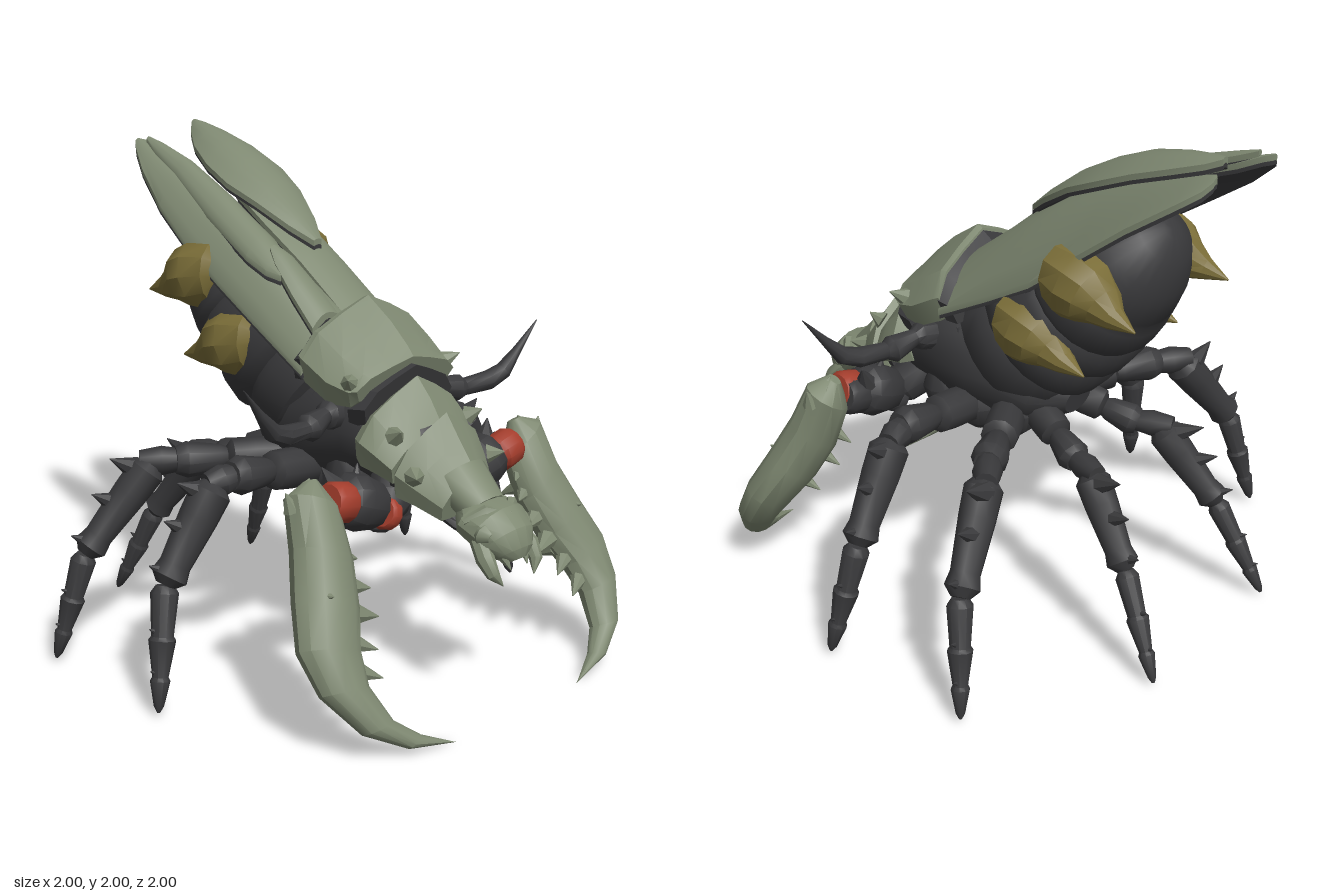
import * as THREE from 'three';
import { toCreasedNormals } from 'three/addons/utils/BufferGeometryUtils.js';

const V = (x, y, z) => new THREE.Vector3(x, y, z);
const material = (name, color) => new THREE.MeshStandardMaterial({ name, color });

export function createModel() {
  const model = new THREE.Group();
  model.name = 'giantInsect';
  const green = material('shellGreen', 0x7f8972);
  const dark = material('bodyCharcoal', 0x39393b);
  const ochre = material('podOchre', 0x7a6d38);
  const red = material('jointRed', 0xa43d2c);

  // Closed solid through cross-sections of equal length, wound outwards
  function loft(name, mat, sections, crease = 0.7) {
    const n = sections[0].length, pos = [], tris = [];
    sections.forEach(s => s.forEach(p => pos.push(p.x, p.y, p.z)));
    for (let i = 0; i < sections.length - 1; i++)
      for (let j = 0; j < n; j++) {
        const a = i * n + j, b = i * n + (j + 1) % n;
        tris.push([a, b, a + n], [b, b + n, a + n]);
      }
    [0, sections.length - 1].forEach((k, e) => {
      const c = sections[k].reduce((m, p) => m.add(p), V(0, 0, 0)).divideScalar(n);
      const ci = pos.length / 3;
      pos.push(c.x, c.y, c.z);
      for (let j = 0; j < n; j++) {
        const a = k * n + j, b = k * n + (j + 1) % n;
        tris.push(e ? [a, b, ci] : [b, a, ci]);
      }
    });
    const at = i => V(pos[3 * i], pos[3 * i + 1], pos[3 * i + 2]);
    const volume = tris.reduce((v, [a, b, c]) => v + at(a).dot(at(b).cross(at(c))), 0);
    const geo = new THREE.BufferGeometry();
    geo.setAttribute('position', new THREE.Float32BufferAttribute(pos, 3));
    geo.setIndex(tris.flatMap(([a, b, c]) => (volume < 0 ? [a, c, b] : [a, b, c])));
    const mesh = new THREE.Mesh(toCreasedNormals(geo, crease), mat);
    mesh.name = name;
    model.add(mesh);
  }

  // Tube through [x, y, z, radius, second radius] points
  function tube(name, mat, pts, sides = 10, crease = 0.7) {
    const P = pts.map(p => V(p[0], p[1], p[2])), last = P.length - 1;
    const whole = P[last].clone().sub(P[0]).normalize();
    const ref = Math.abs(whole.x) < 0.75 ? V(1, 0, 0) : V(0, 0, 1);
    loft(name, mat, P.map((c, i) => {
      const t = P[Math.min(i + 1, last)].clone().sub(P[Math.max(i - 1, 0)]).normalize();
      const u = ref.clone().addScaledVector(t, -ref.dot(t)).normalize();
      const v = t.clone().cross(u);
      const [, , , ru, rv = ru] = pts[i];
      return Array.from({ length: sides }, (_, k) => {
        const a = k / sides * Math.PI * 2;
        return c.clone().addScaledVector(u, ru * Math.cos(a)).addScaledVector(v, rv * Math.sin(a));
      });
    }), crease);
  }

  // Straight piece with radius profile [[t, r], ...]
  const mix = (a, b, t) => a.map((q, i) => q + (b[i] - q) * t);
  const piece = (name, mat, a, b, profile, sides = 10) =>
    tube(name, mat, profile.map(([t, r]) => [...mix(a, b, t), r]), sides);
  const spike = (name, mat, a, b, r) => piece(name, mat, a, b, [[0, r], [0.4, r * 0.62], [1, 0.002]], 7);
  const side = (s, p) => [p[0] * s, ...p.slice(1)];

  // Thorax and ringed abdomen
  tube('thorax', dark, [[0, .76, .74, .08, .05], [0, .84, .62, .14, .1], [0, .9, .5, .18, .15], [0, .97, .3, .25, .23],
    [0, .93, .05, .27, .25], [0, .86, -.2, .2, .15], [0, .84, -.3, .08, .06]], 18);
  const abdomen = [[.13, .93, .22, .24], [.01, 1.01, .265, .295], [-.16, 1.14, .31, .32],
    [-.28, 1.245, .335, .31], [-.39, 1.345, .32, .285], [-.5, 1.455, .285, .25], [-.605, 1.555, .21, .185]];
  const rings = [];
  abdomen.forEach(([z, y, rx, ry], i) => {
    rings.push([0, y, z, rx, ry]);
    const next = abdomen[i + 1];
    if (next) // narrow fold just before the next ring
      [[.6, .5], [.8, .465]].forEach(([t, k]) => rings.push(
        [0, y + (next[1] - y) * t, z + (next[0] - z) * t, (rx + next[2]) * k, (ry + next[3]) * k]));
  });
  rings.push([0, 1.615, -.67, .13, .12], [0, 1.64, -.7, .04, .04]);
  tube('abdomen', dark, rings, 24, 0.8);

  // Roof-shaped back plates: rows of [z, half width, ridge height, depth]
  const roof = [[0, 0], [.4, .17], [.78, .37], [1, .68], [.9, 1]];
  function plate(name, mat, rows) {
    const outline = [...roof, ...roof.slice(1).reverse().map(([x, d]) => [-x, d])];
    loft(name, mat, rows.map(([z, w, top, h]) => outline.map(([x, d]) => V(x * w, top - d * h, z - .05 * d))), 0.45);
  }
  plate('backPlateRim', dark, [[.13, .295, 1.39, .25], [.18, .305, 1.425, .28]]);
  plate('backPlate', green, [[.175, .305, 1.43, .27], [.2, .31, 1.44, .3], [.32, .3, 1.36, .28],
    [.41, .275, 1.28, .2], [.44, .26, 1.245, .14]]);
  plate('backPlateCollar', dark, [[.38, .25, 1.22, .22], [.455, .235, 1.215, .2]]);
  plate('middlePlate', green, [[.41, .24, 1.14, .26], [.46, .27, 1.175, .31], [.53, .26, 1.1, .25], [.59, .23, 1.01, .19]]);
  plate('middlePlateCollar', dark, [[.55, .2, .99, .2], [.605, .2, .985, .18]]);
  plate('neckPlate', green, [[.575, .2, 1.03, .25], [.61, .235, 1.065, .29], [.68, .2, .97, .22], [.76, .14, .87, .17]]);

  // Wing cases: rows of [z, inner x, outer x, crown height, drop]; peak is the crown's place across
  function wing(name, rows, peak) {
    const layer = (label, mat, offset, thick, inset) => loft(label, mat, rows.map(([z, xi, xo, top, drop]) => {
      const upper = [], lower = [];
      for (let k = 0; k <= 8; k++) {
        const u = k / 8, e = (u - peak) / Math.max(peak, 1 - peak);
        const x = (xi + xo) / 2 + (u - .5) * (xo - xi) * inset, y = top - drop * e * e - offset;
        upper.push(V(x, y, z));
        lower.unshift(V(x, y - thick, z));
      }
      return [...upper, ...lower];
    }), 0.7);
    layer(name, green, 0, .022, 1);
    layer(name + 'Lining', dark, .023, .015, .95);
  }
  wing('leftWingCase', [[.15, -.06, .3, 1.37, .18], [-.1, -.07, .31, 1.56, .24], [-.3, -.08, .315, 1.69, .26],
    [-.5, -.05, .31, 1.78, .2], [-.7, .03, .3, 1.86, .13], [-.88, .11, .27, 1.92, .07],
    [-.96, .15, .24, 1.945, .04], [-.985, .185, .21, 1.945, .01]], .25);
  wing('leftWingLeaf', [[-.11, .01, .05, 1.61, .005], [-.2, -.04, .1, 1.69, .03], [-.35, -.08, .16, 1.8, .06],
    [-.5, -.1, .2, 1.88, .08], [-.65, -.08, .2, 1.94, .08], [-.8, -.02, .19, 1.975, .06],
    [-.92, .06, .165, 1.995, .035], [-.975, .11, .14, 2, .01]], .55);
  wing('rightWingCase', [[.15, -.05, -.3, 1.37, .18], [-.1, -.08, -.31, 1.54, .2], [-.3, -.1, -.315, 1.66, .2],
    [-.5, -.11, -.31, 1.75, .17], [-.7, -.11, -.285, 1.84, .13], [-.88, -.11, -.23, 1.9, .07],
    [-.97, -.13, -.19, 1.935, .03], [-1, -.15, -.17, 1.94, .01]], .25);
  wing('rightWingLeaf', [[-.04, -.16, -.23, 1.53, .02], [-.1, -.13, -.25, 1.575, .05], [-.2, -.11, -.26, 1.64, .07],
    [-.45, -.1, -.24, 1.77, .07], [-.7, -.1, -.2, 1.88, .05], [-.87, -.11, -.17, 1.93, .03],
    [-.95, -.13, -.15, 1.95, .01]], .4);
  wing('rightWingLobe', [[-.13, -.16, -.2, 1.61, .01], [-.08, -.13, -.22, 1.58, .03], [.03, -.11, -.235, 1.49, .04],
    [.15, -.1, -.24, 1.39, .05]], .4);

  // Head with brow crest
  tube('neck', green, [[0, .84, .68, .12, .09], [0, .74, .8, .1, .075]], 12);
  tube('head', green, [[0, .74, .75, .09, .07], [0, .715, .8, .14, .085], [0, .69, .87, .14, .1],
    [0, .655, .92, .12, .085], [0, .615, .95, .085, .06], [0, .59, .965, .04, .03]], 14, 0.5);
  tube('brow', green, [[-.135, .73, .82, .015], [-.07, .765, .87, .025], [0, .745, .92, .02],
    [.07, .765, .87, .025], [.135, .73, .82, .015]], 6);
  tube('lowerJaw', dark, [[0, .72, .6, .08, .05], [0, .665, .72, .07, .03], [0, .64, .78, .04, .02]], 10);

  // Walking legs: hip, knee start, knee end, ankle, foot, then thickness
  const legs = {
    middleLeg: [[.2, .78, .08], [.6, .83, .09], [.69, .81, .06], [.885, .47, .05], [.985, .02, .12], .075],
    rearLeg: [[.18, .78, -.1], [.55, .79, -.3], [.66, .79, -.385], [.885, .45, -.45], [.985, .02, -.53], .071],
    backLeg: [[.1, .8, -.18], [.2, .7, -.45], [.25, .705, -.58], [.31, .4, -.76], [.38, .02, -.95], .065],
  };

  for (const s of [1, -1]) {
    const tag = s > 0 ? 'left' : 'right';
    for (const [leg, [hip, k0, k1, ankle, foot, r]] of Object.entries(legs)) {
      const name = tag + leg[0].toUpperCase() + leg.slice(1);
      const [a, b, c, d, f] = [hip, k0, k1, ankle, foot].map(p => side(s, p));
      const m = mix(a, b, .52);
      piece(name + 'Hip', dark, a, m, [[0, r], [.5, r * 1.05], [.9, r], [1, r * .6]]);
      piece(name + 'Thigh', dark, mix(a, b, .48), b, [[0, r * .5], [.2, r * .75], [.8, r], [1, r * .75]]);
      piece(name + 'Knee', dark, mix(a, b, .92), c, [[0, r * .6], [.5, r * .8], [1, r * .6]]);
      piece(name + 'Shin', dark, mix(b, c, .6), d, [[0, r * .5], [.1, r * 1.05], [.35, r], [.8, r * .8], [.92, r * .95], [1, r * .5]]);
      piece(name + 'Foot', dark, d, f, [[0, r * .45], [.06, r * .7], [.4, r * .55], [.43, r * .68], [.72, r * .4], [.75, r * .5], [.95, r * .25], [1, .006]]);
      // Thorns on the outer edge
      const out = leg === 'backLeg' ? [.02, .04, -.09] : [.09, .05, -.01];
      [[c, d, .08, 1.2], [c, d, .45, 1.1], [c, d, .88, .95], [d, f, .38, .6], [d, f, .7, .45]].forEach(([p, q, t, k]) => {
        const base = mix(p, q, t);
        spike(name + 'Thorn', dark, base, base.map((v, i) => v + out[i] * k * (i ? 1 : s)), r * .55 * k);
      });
    }

    // Short pointed feeler arms
    tube(tag + 'FeelerArm', dark, [[.18, 1.02, .25, .06], [.28, 1.04, .27, .055], [.3, 1.04, .275, .035],
      [.4, 1.02, .3, .055], [.43, 1.02, .31, .035], [.55, 1.03, .335, .04], [.62, 1.06, .35, .035],
      [.69, 1.14, .365, .018], [.78, 1.25, .385, .002]].map(p => side(s, p)), 9);

    // Claw arm; the red joints show in front, with dark sleeves behind
    piece(tag + 'ClawHip', dark, side(s, [.08, .78, .42]), side(s, [.2, .7, .5]), [[0, .09], [.7, .085], [1, .06]]);
    piece(tag + 'ClawArm', dark, side(s, [.215, .72, .48]), side(s, [.425, .8, .475]), [[0, .06], [.15, .09], [.6, .11], [.85, .1], [1, .06]]);
    [['InnerJoint', [.18, .69, .5], [.235, .71, .51], .065], ['OuterJoint', [.395, .785, .505], [.505, .815, .51], .076]]
      .forEach(([label, a, b, r]) => {
        const profile = [[0, r * .8], [.2, r], [.8, r], [1, r * .85]];
        const back = p => side(s, [p[0], p[1] - .018, p[2] - .028]);
        piece(tag + label, red, side(s, a), side(s, b), profile, 12);
        piece(tag + label + 'Sleeve', dark, back(a), back(b), profile, 12);
      });
    spike(tag + 'ArmThorn', dark, side(s, [.33, .8, .47]), side(s, [.3, .9, .45]), .045);
    spike(tag + 'ArmCollar', dark, side(s, [.4, .82, .45]), side(s, [.45, .91, .42]), .05);

    // Curved claw blade: rows of [outer x, y, inner x, y, half thickness]
    const slope = y => 1 - .87 * y + .31 * y * y;
    const blade = [[.575, .9, .53, .89, .03], [.67, .87, .47, .77, .085], [.7, .7, .48, .6, .1], [.76, .55, .525, .45, .1],
      [.82, .4, .585, .34, .09], [.8, .26, .61, .24, .075], [.7, .12, .57, .13, .055], [.55, .04, .48, .065, .03], [.34, .003, .35, .006, .002]];
    loft(tag + 'ClawBlade', green, blade.map(([ox, oy, ix, iy, th]) => Array.from({ length: 12 }, (_, k) => {
      const a = k / 12 * Math.PI * 2, c = (1 + Math.cos(a)) / 2, y = iy + (oy - iy) * c;
      return V(s * (ix + (ox - ix) * c), Math.max(0, y + .45 * th * Math.sin(a)), slope(y) + .88 * th * Math.sin(a));
    })), 0.6);
    // Saw teeth, ridge thorns and the knob on the blade
    [[.53, .64, .445, .61, .05], [.54, .54, .43, .51, .05], [.57, .46, .44, .42, .055], [.61, .38, .5, .33, .045],
      [.64, .3, .53, .25, .045], [.52, .72, .46, .68, .04], [.6, .86, .565, .91, .035], [.66, .82, .685, .885, .035]]
      .forEach(([x, y, tx, ty, r]) => spike(tag + 'ClawTooth', green, [s * x, y, slope(y)], [s * tx, ty, slope(ty) + .015], r));
    [[.53, .52], [.58, .4], [.52, .64]].forEach(([x, y]) =>
      spike(tag + 'UnderTooth', green, [s * x, y, slope(y) - .03], [s * (x - .03), y - .05, slope(y) - .11], .035));
    spike(tag + 'ClawKnob', green, [s * .68, .56, slope(.56) + .07], [s * .68, .57, slope(.56) + .115], .025);

    // Thorned pods on the abdomen
    [[0, 0], [.235, -.215]].forEach(([dy, dz]) => tube(tag + 'Pod', ochre, [[.24, 1.23, -.15, .04, .06], [.255, 1.24, -.185, .1, .12],
      [.27, 1.225, -.26, .12, .135], [.268, 1.205, -.33, .115, .12], [.275, 1.175, -.39, .08, .08], [.29, 1.15, -.45, .045, .045], [.3, 1.125, -.545, .003]]
      .map(([x, y, z, ...r]) => [s * x, y + dy, z + dz, ...r]), 10, 0.55));

    // Thorns on the back plates
    [[.25, 1.17, .36, .3, 1.2, .4], [.2, 1.0, .54, .22, 1.03, .59], [.2, .87, .64, .24, .88, .69]]
      .forEach(p => spike(tag + 'PlateThorn', green, side(s, p.slice(0, 3)), side(s, p.slice(3)), .038));

    // Eyes and mandibles
    tube(tag + 'Eye', green, [[.08, .7, .85, .045], [.098, .69, .9, .045], [.1, .685, .93, .02]].map(p => side(s, p)), 10);
    tube(tag + 'Mandible', green, [[.1, .66, .87, .035], [.122, .61, .92, .035], [.118, .56, .955, .025], [.085, .515, .975, .002]]
      .map(p => side(s, p)), 8);
    spike(tag + 'MandibleTooth', green, side(s, [.06, .62, .94]), side(s, [.045, .565, .975]), .025);

    // Underside bumps at the leg roots
    [[.14, .76, .25], [.16, .75, .06], [.14, .76, -.1]].forEach(([x, y, z]) =>
      piece(tag + 'LegRoot', dark, [s * x, y + .1, z], [s * x, y - .08, z], [[0, .07], [.4, .1], [.8, .075], [1, .03]]));
  }
  return model;
}
